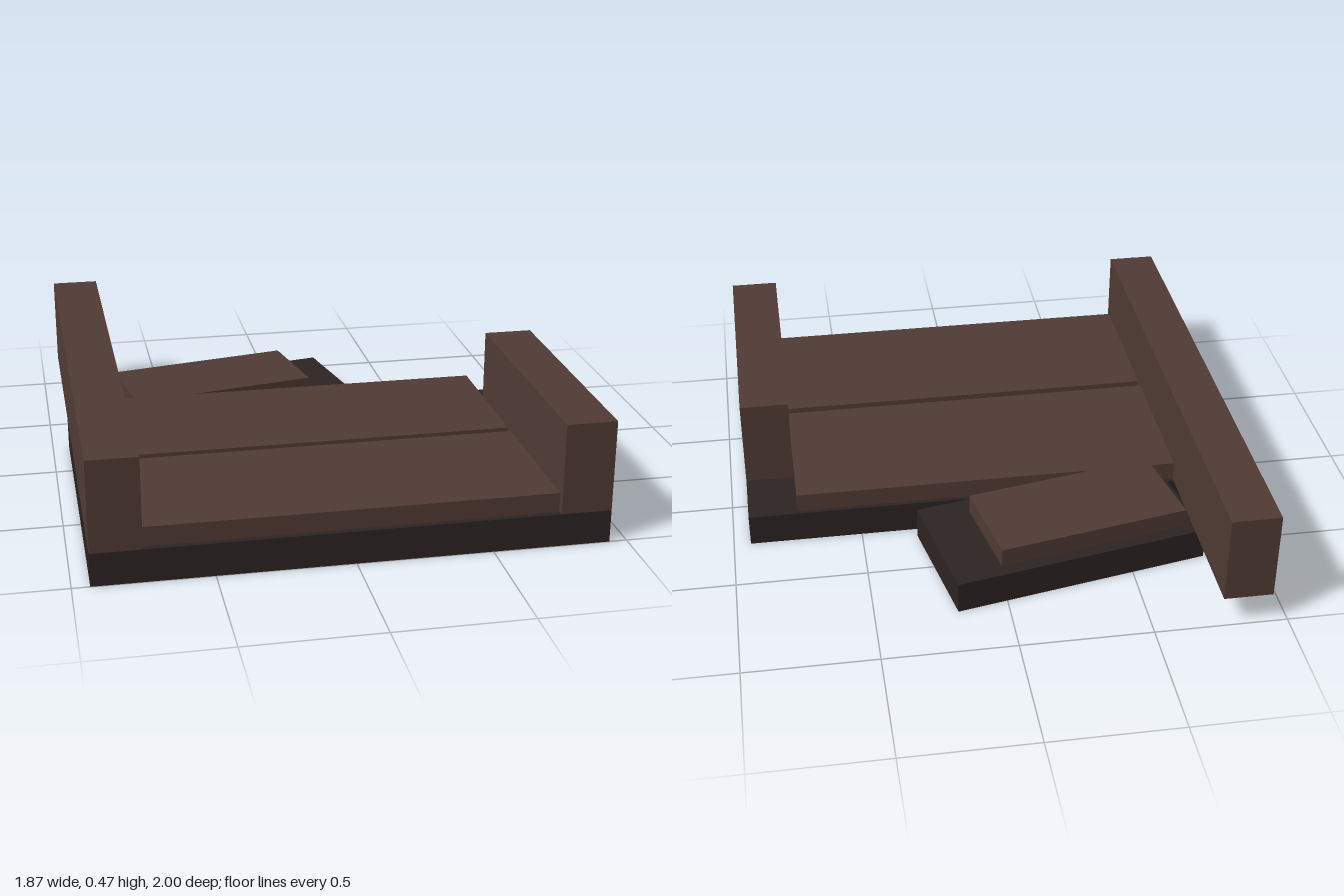
import * as THREE from 'three';

const BASE_H = 0.125;

export function createModel() {
  const brown = new THREE.MeshStandardMaterial({ color: 0x503b35 });
  brown.name = 'brownUpholstery';
  const dark = new THREE.MeshStandardMaterial({ color: 0x2d2323, side: THREE.DoubleSide });
  dark.name = 'darkPlinth';

  const model = new THREE.Group();
  model.name = 'lowSofa';

  // Box given by its extents on each axis
  function block(parent, name, material, [x0, x1], [y0, y1], [z0, z1]) {
    const geometry = new THREE.BoxGeometry(x1 - x0, y1 - y0, z1 - z0);
    const mesh = new THREE.Mesh(geometry, material);
    mesh.position.set((x0 + x1) / 2, (y0 + y1) / 2, (z0 + z1) / 2);
    mesh.name = name;
    parent.add(mesh);
    return mesh;
  }

  // Plinth shell: a box without its underside
  function plinth(parent, name, xs, zs) {
    const mesh = block(parent, name, dark, xs, [0, BASE_H], zs);
    const index = Array.from(mesh.geometry.index.array);
    index.splice(18, 6); // the -y face
    mesh.geometry.setIndex(index);
    mesh.geometry.clearGroups();
  }

  // Main seat
  plinth(model, 'seatPlinth', [-0.935, 0.935], [-0.25, 1]);
  const cushionY = [BASE_H + 0.001, 0.2];
  block(model, 'backCushion', brown, [-0.75, 0.745], cushionY, [-0.235, 0.355]);
  block(model, 'frontCushion', brown, [-0.75, 0.745], cushionY, [0.39, 0.98]);

  // Arms: the right one runs on past the plinth
  block(model, 'longRightArm', brown, [-0.935, -0.75], [BASE_H, 0.47], [-1, 1]);
  block(model, 'shortLeftArm', brown, [0.748, 0.935], [BASE_H, 0.47], [0, 1]);

  // Angled side seat, tucked into the back of the main one
  const side = new THREE.Group();
  side.name = 'angledSeat';
  side.position.set(-0.2525, 0, -0.44);
  side.rotation.y = 0.195;
  plinth(side, 'angledPlinth', [-0.5, 0.5], [-0.247, 0.247]);
  block(side, 'angledCushion', brown, [-0.438, 0.311], cushionY, [-0.198, 0.169]);
  model.add(side);

  return model;
}
